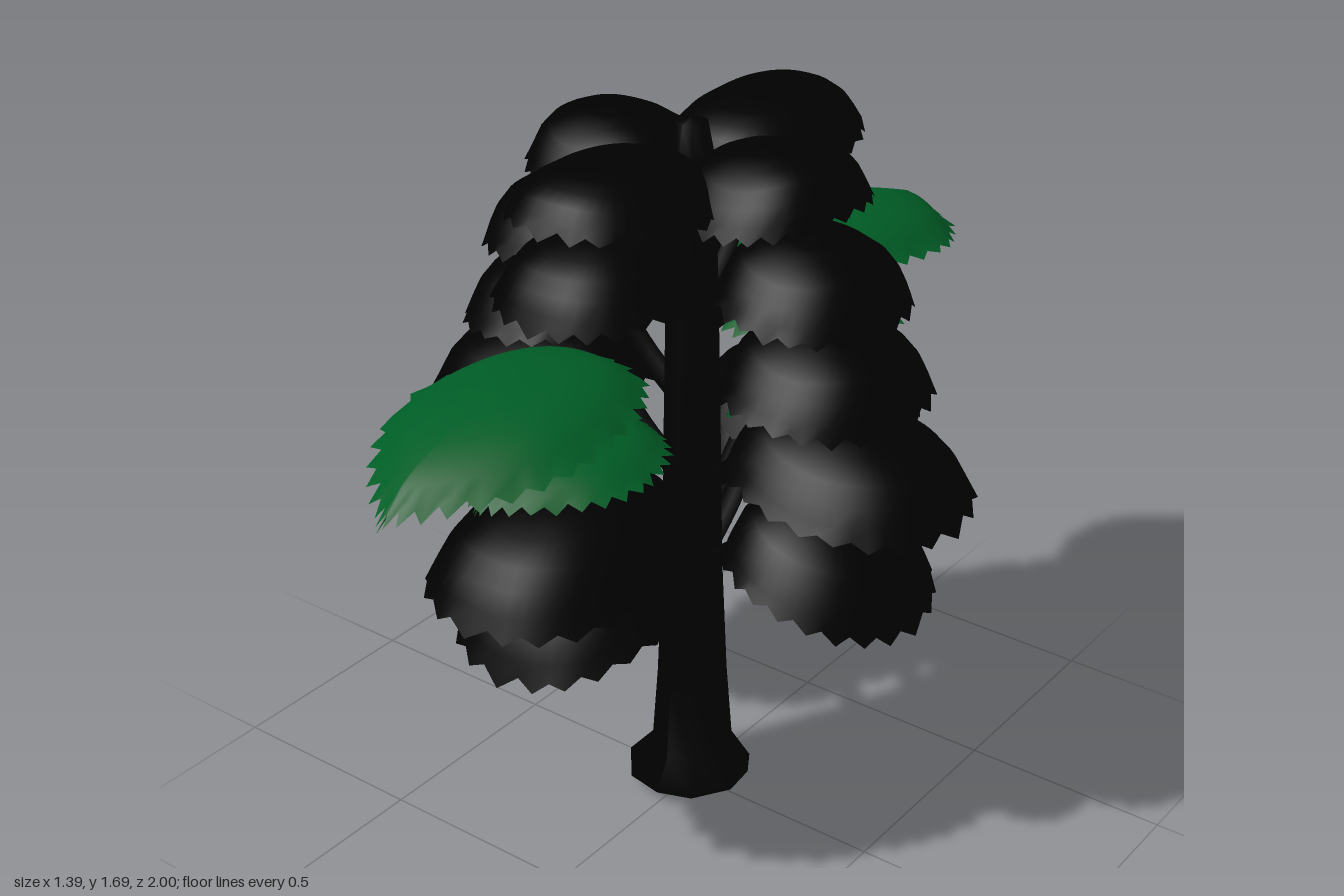
import * as THREE from 'three';

const mat = (name, color) => new THREE.MeshStandardMaterial({ name, color, side: THREE.DoubleSide });

// small seeded random for ragged leaf edges
function seeded(seed) {
  return () => (seed = (seed * 16807) % 2147483647) / 2147483647;
}

// One half (top dome or underside) of a leafy pad that reaches along +x.
// tops = ridge heights at the inner end, the middle and the tip.
function padSurface(p, under) {
  const { inner, outer, width, tops, h, teeth, notch, dip, tipPower, innerPower, seed } = p;
  const rand = seeded(seed);
  const sectors = teeth * 2;
  const rings = [0, 0.3, 0.55, 0.75, 0.88, 0.96, 1];
  const mid = (inner + outer) / 2, half = (outer - inner) / 2;
  const bend = (tops[0] + tops[2]) / 2 - tops[1], slope = (tops[2] - tops[0]) / 2;
  const edge = [];
  for (let j = 0; j < sectors; j++) {
    const k = rand();
    edge.push(j === 0 ? [1, dip] : j % 2 ? [1 - notch * (0.6 + 0.4 * k), 0] : [1 - notch * 0.3 * k, dip * (0.4 + 0.6 * k)]);
  }
  const pos = [], index = [];
  rings.forEach((ring, i) => {
    const rim = i === rings.length - 1;
    for (let j = 0; j < sectors; j++) {
      const t = (j / sectors) * Math.PI * 2, c = Math.cos(t), s = Math.sin(t);
      const r = rim ? edge[j][0] : ring * (1 - notch);
      const a = r * c;
      const across = r * Math.sign(s) * Math.abs(s) ** (c > 0 ? tipPower : innerPower);
      // blunt at the ends, rounder and deeper along the sides
      const blunt = 0.15 * ring ** 2 + 0.85 * ring ** 8, round = 0.3 * ring ** 2 + 0.7 * ring ** 4;
      const dome = blunt + (round - blunt) * s * s;
      const drop = under ? 0.75 + 0.25 * ring ** 4 : dome;
      const y = tops[1] + slope * a + bend * a * a - h * (1 + 0.5 * s * s) * drop - (rim ? edge[j][1] : 0);
      pos.push(mid + half * a, y, width * across);
      if (i) {
        const n = (j + 1) % sectors, lo = (i - 1) * sectors, hi = i * sectors;
        const A = lo + j, B = hi + j, C = hi + n, D = lo + n;
        if (under) index.push(A, B, C, A, C, D);
        else index.push(A, C, B, A, D, C);
      }
    }
  });
  // level the centre of the underside
  for (let j = 0; j < sectors; j++) pos[j * 3 + 1] = tops[1] - (under ? h * 0.95 : 0);
  const g = new THREE.BufferGeometry();
  g.setAttribute('position', new THREE.Float32BufferAttribute(pos, 3));
  g.setIndex(index);
  g.computeVertexNormals();
  return g;
}

function limb(points, radius, material, name) {
  const curve = new THREE.CatmullRomCurve3(points.map(([x, y]) => new THREE.Vector3(x, y, 0)));
  const m = new THREE.Mesh(new THREE.TubeGeometry(curve, 8, radius, 6), material);
  m.name = name;
  return m;
}

export function createModel() {
  const tree = new THREE.Group();
  tree.name = 'tree';
  const dark = mat('black bark and foliage', 0x000000);
  const green = mat('green foliage', 0x005c25);

  // trunk with flared, uneven foot
  const profile = [[0, 0], [0.05, 0.004], [0.15, 0.04], [0.1, 0.11], [0.086, 0.3], [0.073, 0.6], [0.068, 0.9],
    [0.06, 1.3], [0.05, 1.6], [0.035, 1.68], [0, 1.69]];
  const trunkGeo = new THREE.LatheGeometry(profile.map(([x, y]) => new THREE.Vector2(x, y)), 10);
  const tp = trunkGeo.attributes.position;
  for (let i = 0; i < tp.count; i++) {
    if (tp.getY(i) > 0.02 && tp.getY(i) < 0.1) {
      const a = Math.atan2(tp.getZ(i), tp.getX(i));
      const k = 1 + 0.07 * Math.sin(3 * a);
      tp.setXYZ(i, tp.getX(i) * k, tp.getY(i) + 0.012 * Math.sin(2 * a + 1), tp.getZ(i) * k);
    }
  }
  trunkGeo.computeVertexNormals();
  const trunk = new THREE.Mesh(trunkGeo, dark);
  trunk.name = 'trunk';
  tree.add(trunk);

  // pads: inner reach, outer reach, half width, ridge heights, depth
  const sidePads = [
    [0.02, 0.39, 0.21, [1.645, 1.67, 1.655], 0.085],
    [0.12, 0.515, 0.23, [1.485, 1.505, 1.44], 0.09],
    [0.14, 0.575, 0.25, [1.29, 1.315, 1.25], 0.095],
    [0.15, 0.695, 0.255, [1.105, 1.115, 1.03], 0.095],
    [0.15, 0.605, 0.25, [0.88, 0.9, 0.76], 0.1],
  ];
  const frontPads = [
    [0.02, 0.505, 0.21, [1.645, 1.68, 1.67], 0.07],
    [0.11, 0.545, 0.21, [1.515, 1.545, 1.485], 0.08],
    [0.15, 0.775, 0.265, [0.985, 1.003, 0.925], 0.105],
    [0.15, 0.685, 0.255, [0.875, 0.885, 0.745], 0.095],
  ];
  const greenPads = [
    [0.27, 1.0, 0.245, [1.285, 1.3, 1.21], 0.045],
    [0.22, 0.73, 0.235, [1.125, 1.15, 1.115], 0.04],
  ];

  // dark pads are blunt and ragged, green ones pointed and toothed
  const darkShape = { teeth: 22, notch: 0.06, dip: 0.022, tipPower: 0.85, innerPower: 0.85 };
  const greenShape = { teeth: 36, notch: 0.11, dip: 0.016, tipPower: 1.9, innerPower: 0.85 };

  const addPad = (parent, [inner, outer, width, tops, h], shape, material, name, seed) => {
    const pad = new THREE.Group();
    pad.name = name;
    for (const under of [false, true]) {
      const m = new THREE.Mesh(padSurface({ inner, outer, width, tops, h, seed, ...shape }, under), material);
      m.name = under ? 'padUnderside' : 'padTop';
      pad.add(m);
    }
    parent.add(pad);
  };

  // four boughs of stacked pads, each with its branches
  const names = ['leftBough', 'frontBough', 'rightBough', 'backBough'];
  names.forEach((name, q) => {
    const bough = new THREE.Group();
    bough.name = name;
    bough.rotation.y = -q * Math.PI / 2;
    const pads = q % 2 ? frontPads : sidePads;
    pads.forEach((spec, i) => {
      addPad(bough, spec, darkShape, dark, 'foliagePad', 101 + q * 37 + i * 11);
      const y = spec[3][1] - 0.07, x = spec[0] + 0.1;
      bough.add(limb([[0.03, y - 0.22], [x * 0.55, y - 0.13], [x, y]], 0.026, dark, 'branch'));
    });
    if (q % 2) {
      greenPads.forEach((spec, i) => addPad(bough, spec, greenShape, green, 'greenPad', 501 + q * 13 + i * 7));
      bough.add(limb([[0.14, 0.93], [0.25, 0.97], [0.33, 1.03], [0.4, 1.1]], 0.007, green, 'lowerTwig'));
      bough.add(limb([[0.38, 1.1], [0.41, 1.17], [0.46, 1.24]], 0.007, green, 'upperTwig'));
    }
    tree.add(bough);
  });
  return tree;
}
